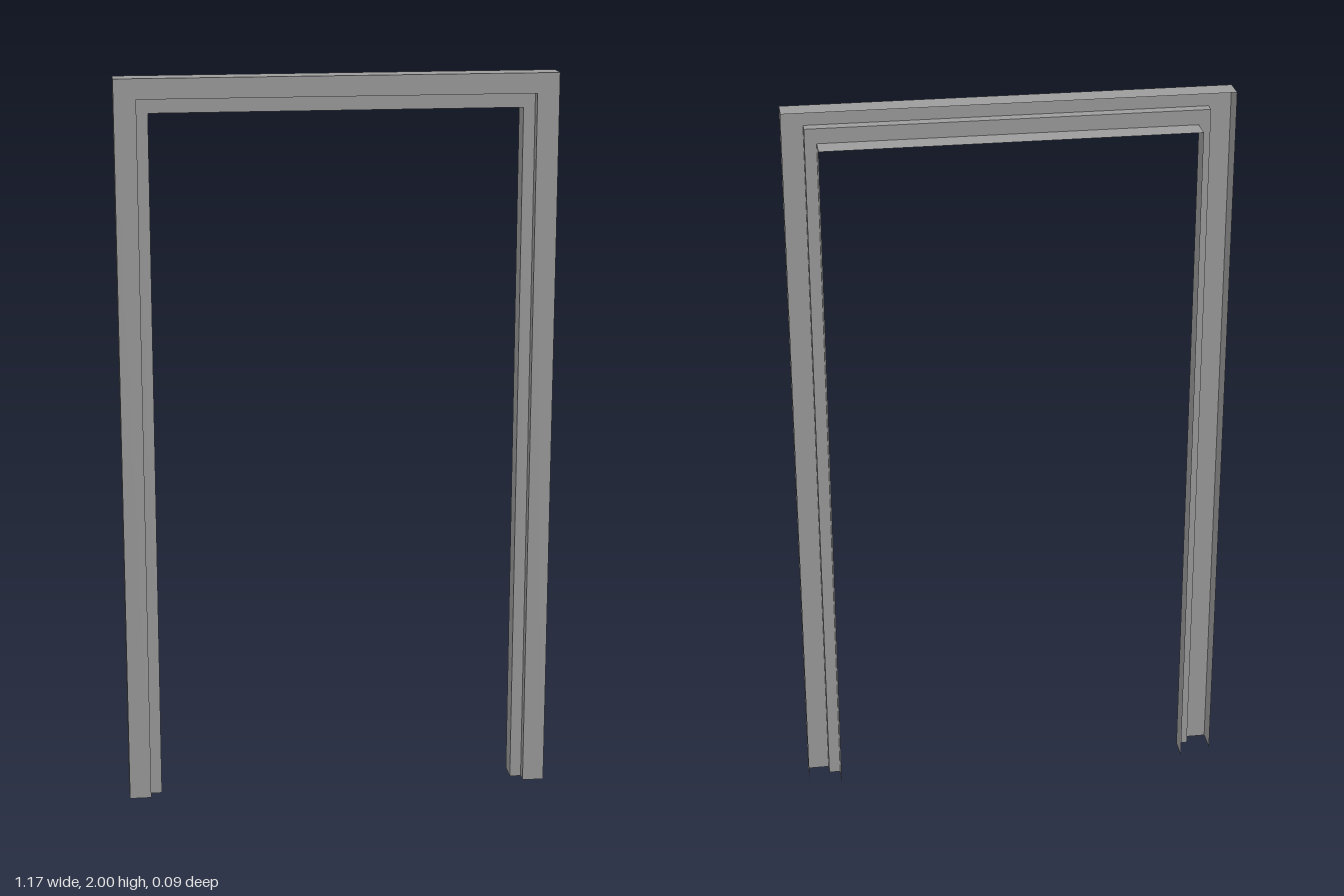
import * as THREE from 'three';

// Folded sheet section, from the outer back edge to the inner back edge:
// [distance in from the side, distance down from the top, z]
const SECTION = [
  [0, 0, -0.018],
  [0, 0, 0.046],
  [0.059, 0.054, 0.046],
  [0.059, 0.054, 0.016],
  [0.09, 0.094, 0.016],
  [0.09, 0.094, -0.046],
];
const HALF_WIDTH = 0.585;
const HEIGHT = 2;

// Ends of the three mitred members: [side of x, at the top?]
const STATIONS = [[1, false], [1, true], [-1, true], [-1, false]];

function corner([inset, drop, z], [side, top]) {
  return [side * (HALF_WIDTH - inset), top ? HEIGHT - drop : 0, z];
}

// One open folded channel running between two stations
function member(name, from, to, material) {
  const positions = [];
  for (let i = 0; i < SECTION.length - 1; i++) {
    const a = corner(SECTION[i], from);
    const b = corner(SECTION[i], to);
    const c = corner(SECTION[i + 1], to);
    const d = corner(SECTION[i + 1], from);
    positions.push(...a, ...b, ...c, ...a, ...c, ...d);
  }
  const geometry = new THREE.BufferGeometry();
  geometry.setAttribute('position', new THREE.Float32BufferAttribute(positions, 3));
  geometry.computeVertexNormals();
  const mesh = new THREE.Mesh(geometry, material);
  mesh.name = name;
  return mesh;
}

export function createModel() {
  const group = new THREE.Group();
  group.name = 'doorFrame';
  // Mid-grey painted sheet metal
  const material = new THREE.MeshStandardMaterial({
    color: 0x9c9c9c,
    side: THREE.DoubleSide,
    flatShading: true,
  });

  // Two jambs joined by the header
  ['leftJamb', 'header', 'rightJamb'].forEach((name, i) => {
    group.add(member(name, STATIONS[i], STATIONS[i + 1], material));
  });
  return group;
}
